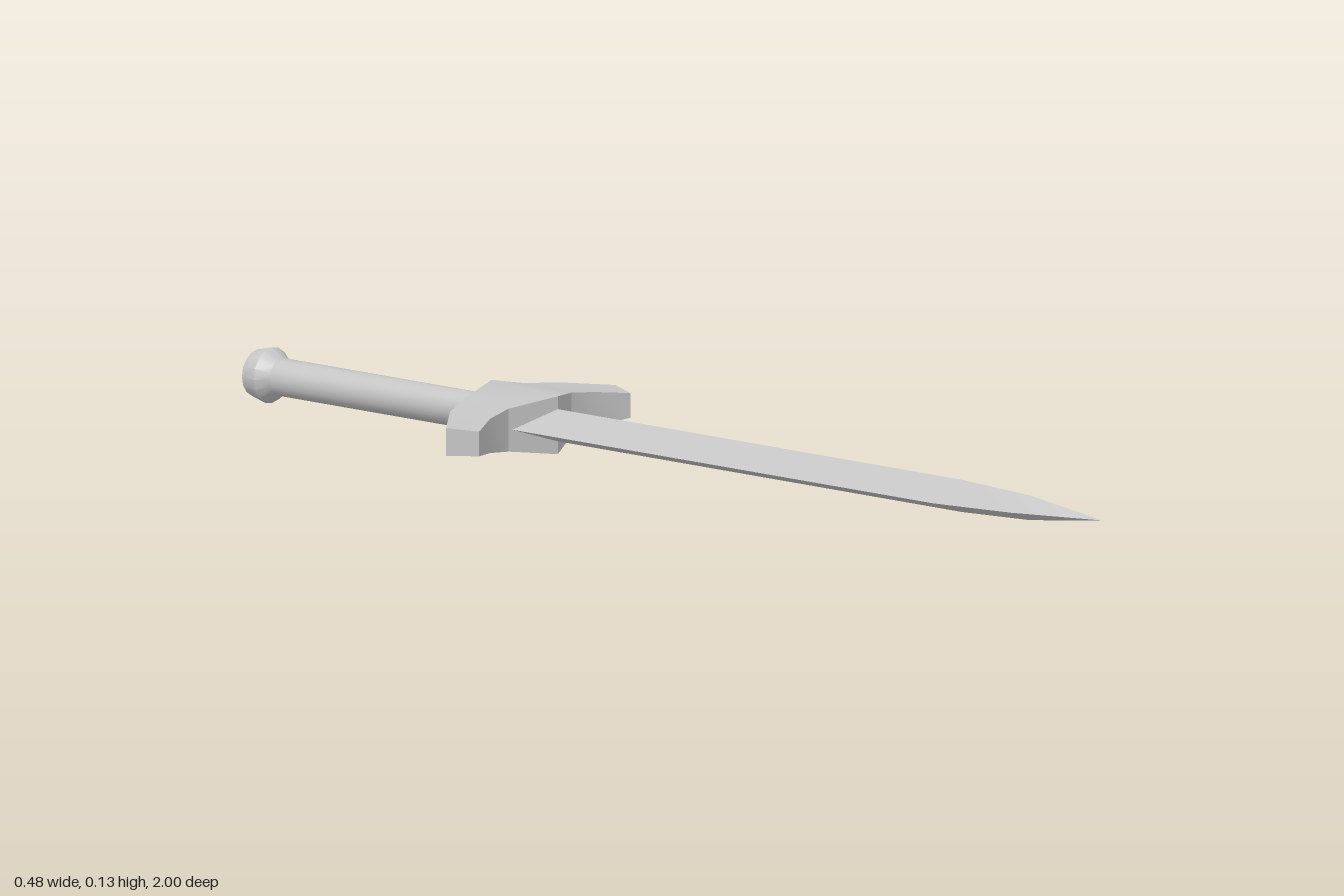
import * as THREE from 'three';
import { toCreasedNormals } from 'three/addons/utils/BufferGeometryUtils.js';

const MID = 0.063; // height of the sword's centre line

// Skin a list of equal-sized rings of [x, y, z] corners and cap both ends.
function loft(rings) {
  const n = rings[0].length;
  const index = [];
  for (let i = 0; i < rings.length - 1; i++) {
    for (let j = 0; j < n; j++) {
      const a = i * n + j, b = i * n + (j + 1) % n;
      index.push(a, b, b + n, a, b + n, a + n);
    }
  }
  const last = (rings.length - 1) * n;
  for (let j = 1; j < n - 1; j++) {
    index.push(0, j + 1, j, last, last + j, last + j + 1);
  }
  const geometry = new THREE.BufferGeometry();
  geometry.setAttribute('position', new THREE.Float32BufferAttribute(rings.flat(2), 3));
  geometry.setIndex(index);
  return toCreasedNormals(geometry, 0.5);
}

export function createModel() {
  const sword = new THREE.Group();
  sword.name = 'sword';
  const steel = new THREE.MeshStandardMaterial({ color: 0xc4c4c4 });
  steel.name = 'steel grey';

  const add = (name, geometry) => {
    const mesh = new THREE.Mesh(geometry, steel);
    mesh.name = name;
    mesh.position.y = MID;
    sword.add(mesh);
  };

  // Blade: diamond sections [z, half width, half thickness]
  const blade = [[-0.36, 0.083, 0.03], [0.67, 0.083, 0.03], [0.83, 0.055, 0.023], [1, 0.0005, 0.0005]];
  add('blade', loft(blade.map(([z, w, t]) => [[w, 0, z], [0, t, z], [-w, 0, z], [0, -t, z]])));

  // Crossguard: half sections [back x, back z, back half height, front x, front z, front half height]
  const half = [
    [0, -0.445, 0.063, 0, -0.288, 0.054],
    [0.08, -0.438, 0.045, 0.09, -0.33, 0.04],
    [0.163, -0.408, 0.036, 0.15, -0.324, 0.032],
    [0.242, -0.352, 0.026, 0.216, -0.295, 0.023],
  ];
  const mirrored = half.slice(1).reverse().map(([bx, bz, bh, fx, fz, fh]) => [-bx, bz, bh, -fx, fz, fh]);
  add('crossguard', loft([...mirrored, ...half].map(([bx, bz, bh, fx, fz, fh]) =>
    [[bx, -bh, bz], [bx, bh, bz], [fx, fh, fz], [fx, -fh, fz]])));

  // Grip and pommel, turned about the sword's long axis: [radius, distance back]
  const turned = (points) => {
    const lathe = new THREE.LatheGeometry(points.map(([r, d]) => new THREE.Vector2(r, d)), 16);
    return toCreasedNormals(lathe.rotateX(-Math.PI / 2), 0.9);
  };
  add('grip', turned([[0.035, 0.4], [0.035, 0.945]]));
  add('pommel', turned([[0.034, 0.94], [0.052, 0.965], [0.043, 1], [0, 1]]));

  return sword;
}
